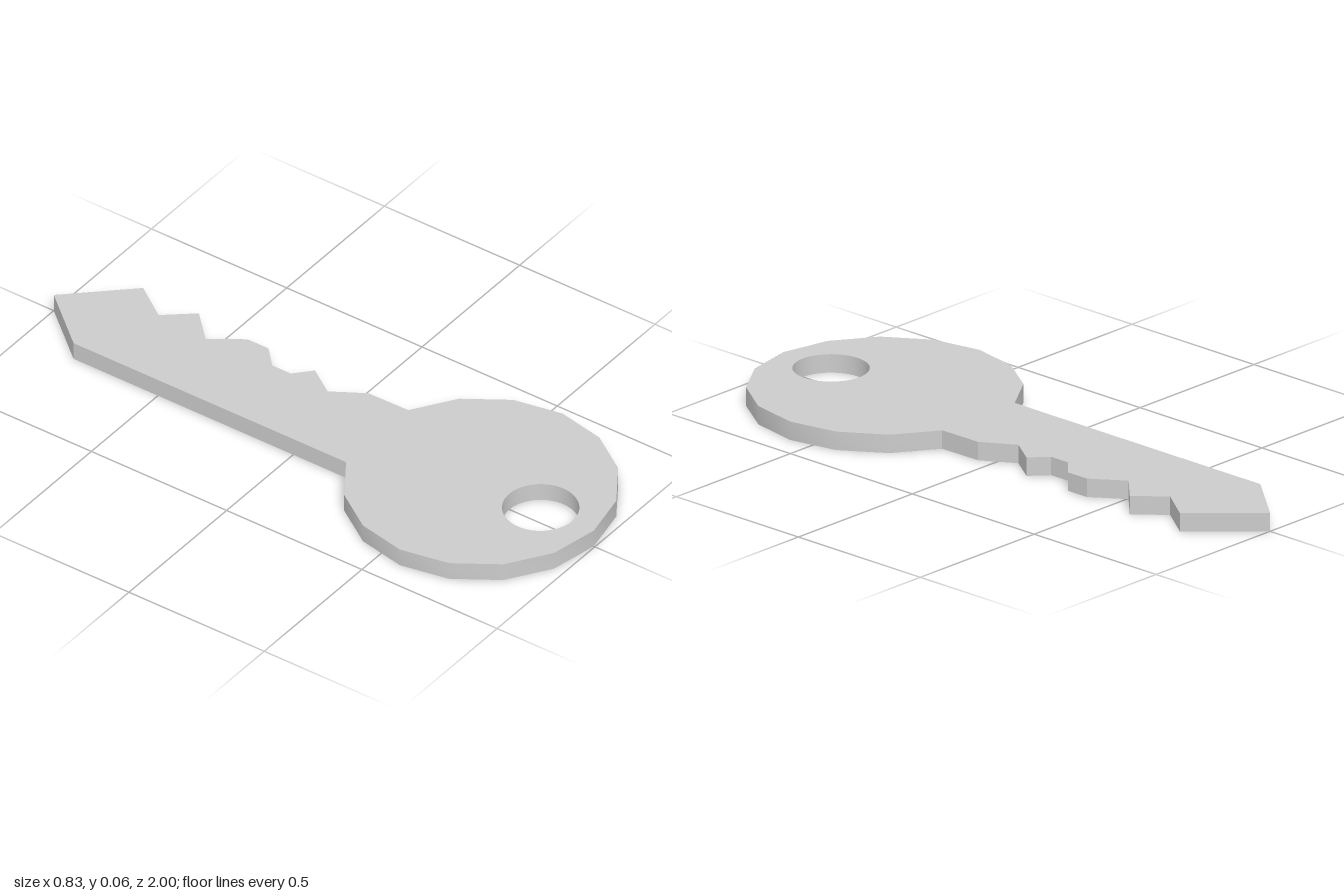
import * as THREE from 'three';
import { toCreasedNormals } from 'three/addons/utils/BufferGeometryUtils.js';

const THICKNESS = 0.059;
const HEAD = { z: 0.58, r: 0.416, sides: 16 };
const HOLE = { z: 0.8, r: 0.116 };

// Blade outline as [x, z]: the toothed edge, the tip, then the straight edge
const BLADE = [
  [0.157, 0.05], [0.093, -0.055], [0.155, -0.146], [0.1, -0.196],
  [0.1, -0.265], [0.162, -0.323], [0.162, -0.4], [0.09, -0.504],
  [0.181, -0.594], [0.103, -0.687], [0.185, -0.803],
  [0, -1], [-0.159, -0.812],
];

export function createModel() {
  const group = new THREE.Group();
  group.name = 'key';

  // Faceted head: every corner except the one hidden inside the neck
  const outline = [];
  for (let i = 1; i < HEAD.sides; i++) {
    const a = (i / HEAD.sides) * Math.PI * 2;
    outline.push([-HEAD.r * Math.sin(a), HEAD.z - HEAD.r * Math.cos(a)]);
  }
  outline.push(...BLADE);

  // The shape is drawn with y = -z, then laid flat
  const shape = new THREE.Shape(outline.map(([x, z]) => new THREE.Vector2(x, -z)));

  // Round hole for the key ring
  const hole = new THREE.Path();
  hole.absarc(0, -HOLE.z, HOLE.r, 0, Math.PI * 2, true);
  shape.holes.push(hole);

  const flat = new THREE.ExtrudeGeometry(shape, {
    depth: THICKNESS, bevelEnabled: false, curveSegments: 32,
  });
  flat.rotateX(-Math.PI / 2);

  // Soft shading around the head and hole, sharp teeth and rims
  const body = new THREE.Mesh(
    toCreasedNormals(flat, 0.45),
    new THREE.MeshStandardMaterial({ color: 0xcccccc }),
  );
  body.name = 'keyBody';
  group.add(body);
  return group;
}
